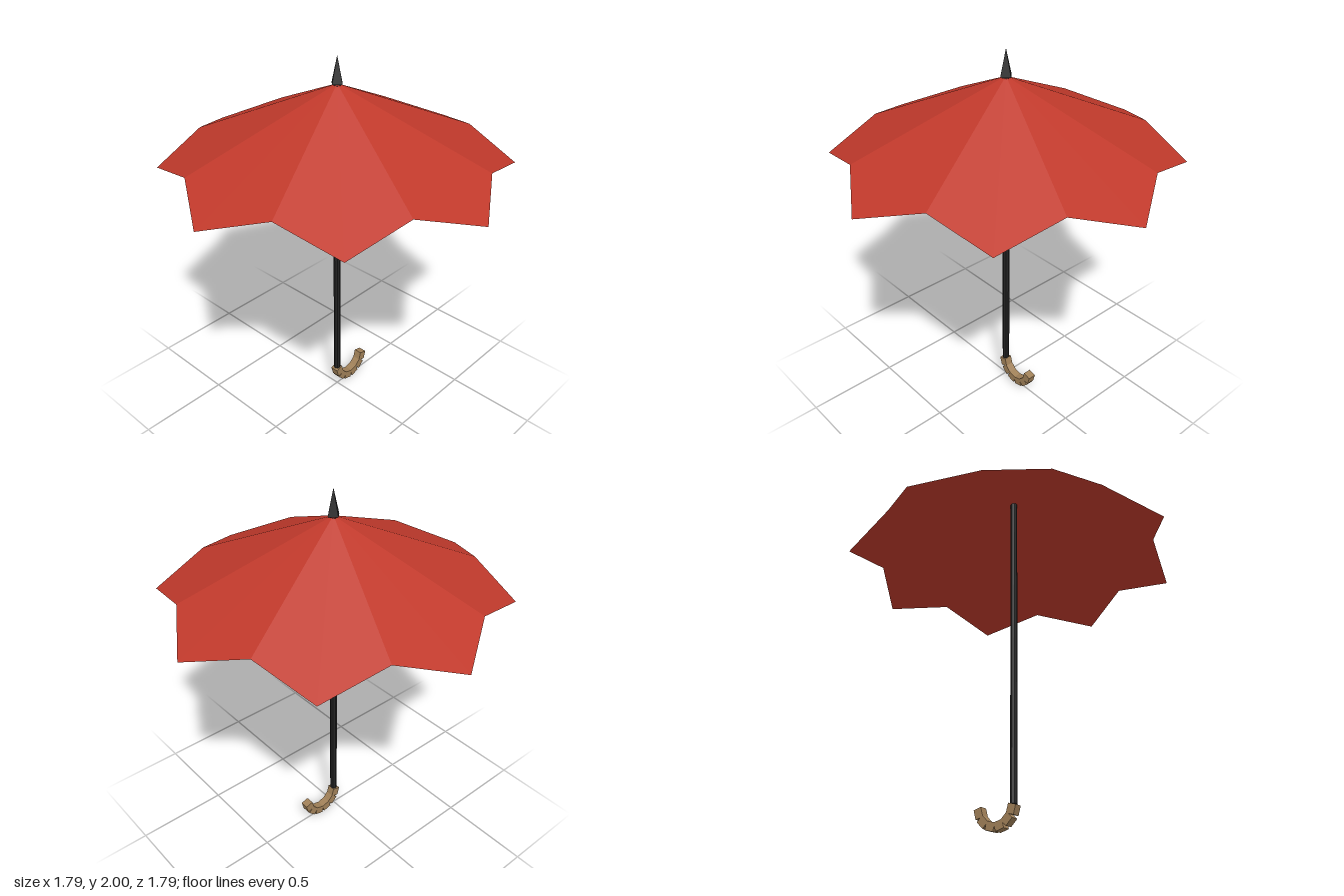
import * as THREE from 'three';

const RIBS = 8;
const APEX_Y = 1.865;

// point at a given angle and radius
const polar = (angle, r, y) => [r * Math.sin(angle), y, r * Math.cos(angle)];

// Eight flat kite panels meeting at the apex, with pointed tips and shallow notches
function canopyGeometry() {
  const positions = [];
  const half = Math.PI / RIBS;
  const apex = [0, APEX_Y, 0];
  for (let i = 0; i < RIBS; i++) {
    const a = i * 2 * half;
    const tip = polar(a, 0.897, 1.439);
    const before = polar(a - half, 0.77, 1.527);
    const after = polar(a + half, 0.77, 1.527);
    positions.push(...apex, ...before, ...tip, ...apex, ...tip, ...after);
  }
  const geometry = new THREE.BufferGeometry();
  geometry.setAttribute('position', new THREE.Float32BufferAttribute(positions, 3));
  geometry.computeVertexNormals();
  return geometry;
}

export function createModel() {
  const model = new THREE.Group();
  model.name = 'umbrella';

  const red = new THREE.MeshStandardMaterial({ color: 0xc0392b, flatShading: true, side: THREE.DoubleSide });
  const black = new THREE.MeshStandardMaterial({ color: 0x222222, flatShading: true });
  const wood = new THREE.MeshStandardMaterial({ color: 0xa08058, flatShading: true });

  const add = (parent, name, geometry, material, x = 0, y = 0, z = 0) => {
    const mesh = new THREE.Mesh(geometry, material);
    mesh.name = name;
    mesh.position.set(x, y, z);
    parent.add(mesh);
    return mesh;
  };

  add(model, 'canopy', canopyGeometry(), red);

  // Four-sided spike on top
  add(model, 'spike', new THREE.ConeGeometry(0.036, 0.135, 4), black, 0, 1.9325);

  // Shaft from the handle to just under the apex
  const bottom = 0.125, top = 1.858;
  add(model, 'shaft', new THREE.CylinderGeometry(0.019, 0.019, top - bottom, 8), black, 0, (top + bottom) / 2);

  // Hooked handle: blocks set along a half circle
  const handle = new THREE.Group();
  handle.name = 'handle';
  handle.position.set(0.1, 0.125, 0);
  const blocks = 6;
  const block = new THREE.BoxGeometry(0.045, 0.05, 0.045);
  for (let i = 0; i < blocks; i++) {
    const a = Math.PI + (i + 0.5) * Math.PI / blocks;
    add(handle, 'handleBlock', block, wood, 0.1 * Math.cos(a), 0.1 * Math.sin(a)).rotation.z = a;
  }
  model.add(handle);

  return model;
}
